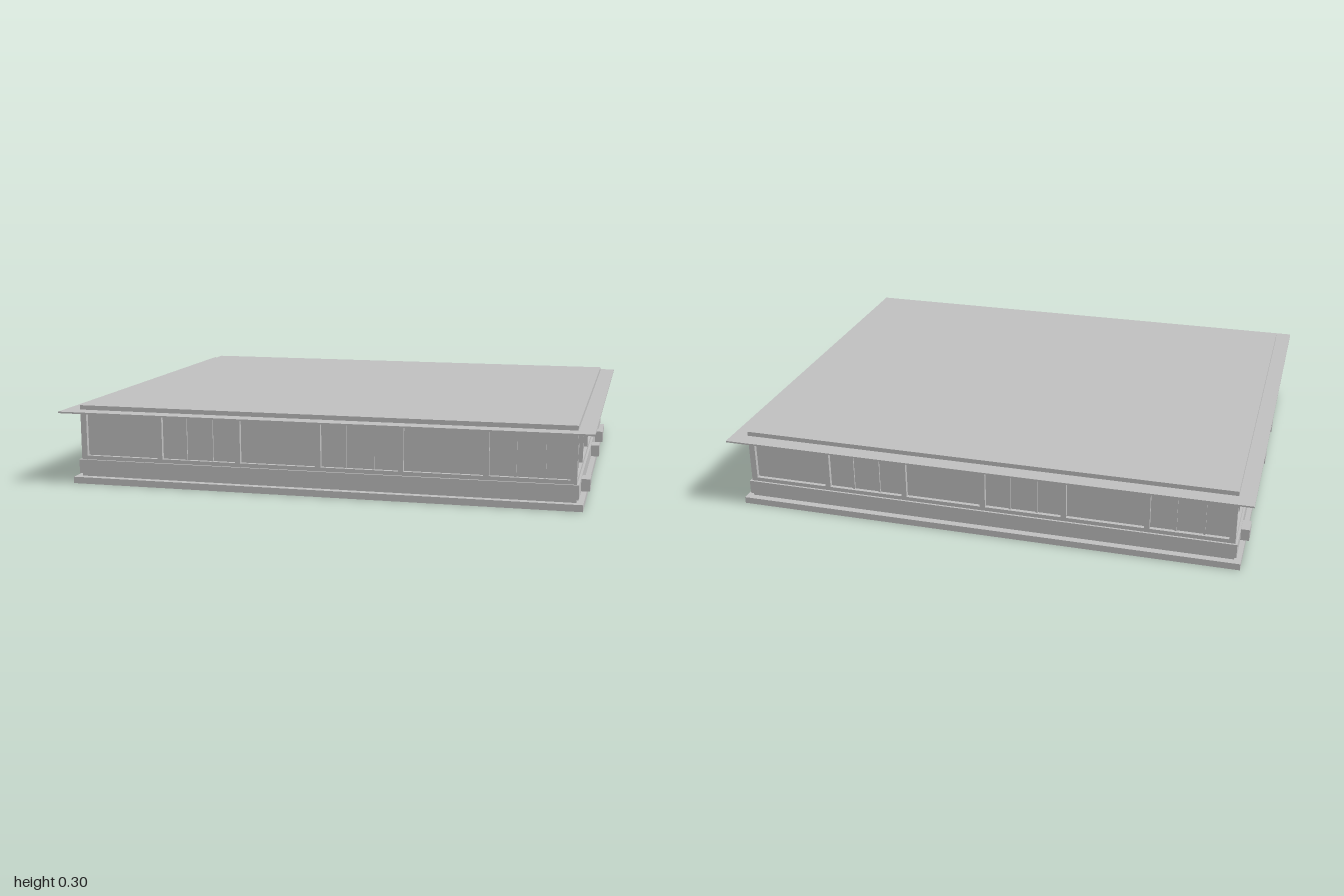
import * as THREE from 'three';

export function createModel() {
  const model = new THREE.Group();
  model.name = 'pavilion';
  const grey = new THREE.MeshStandardMaterial({ color: 0xc0c0c0 });
  grey.name = 'light grey';

  // Box centred on x, z and resting on y0
  function box(parent, name, w, d, y0, y1, x = 0, z = 0) {
    const mesh = new THREE.Mesh(new THREE.BoxGeometry(w, y1 - y0, d), grey);
    mesh.position.set(x, (y0 + y1) / 2, z);
    mesh.name = name;
    parent.add(mesh);
    return mesh;
  }

  const HX = 0.94, HZ = 0.78, RECESS = 0.015;
  const SILL = 0.105, EAVE = 0.277;

  // Floor, walls and roof
  box(model, 'baseSlab', 1.93, 1.615, 0, 0.025);
  box(model, 'lowerWall', HX * 2, HZ * 2, 0.025, SILL);
  box(model, 'plinthBand', 1.896, 1.576, 0.037, 0.09);
  box(model, 'windowPanels', (HX - RECESS) * 2, (HZ - RECESS) * 2, SILL, EAVE);
  box(model, 'roofOverhang', 2, 1.685, EAVE, 0.283);
  box(model, 'roofCap', HX * 2, HZ * 2, 0.283, 0.3);

  // Corner posts
  for (const sx of [-1, 1]) {
    for (const sz of [-1, 1]) {
      box(model, 'cornerPost', 0.023, 0.018, SILL, EAVE, sx * (HX - 0.0115), sz * (HZ - 0.009));
    }
  }

  // One wall facing local +z: posts between bays, thin mullions in the divided bays
  function facade(name, half, dist, bays, divided, turn) {
    const wall = new THREE.Group();
    wall.name = name;
    const pitch = (half * 2 - 0.02) / bays;
    const start = -half + 0.01;
    for (let i = 0; i < bays; i++) {
      const x0 = start + i * pitch;
      if (i > 0) box(wall, 'post', 0.02, RECESS, SILL, EAVE, x0, dist - RECESS / 2);
      if (!divided(i)) continue;
      for (const t of [1 / 3, 2 / 3]) {
        box(wall, 'mullion', 0.008, 0.006, SILL, EAVE, x0 + t * pitch, dist - RECESS + 0.003);
      }
    }
    wall.rotation.y = turn;
    model.add(wall);
  }
  const alternate = (i) => i % 2 === 1;
  const every = () => true;
  facade('frontWall', HX, HZ, 6, alternate, 0);
  facade('backWall', HX, HZ, 6, alternate, Math.PI);
  facade('leftWall', HZ, HX, 5, every, Math.PI / 2);
  facade('rightWall', HZ, HX, 5, every, -Math.PI / 2);

  // Small wall units, turned half around on the opposite side
  for (const side of [-1, 1]) {
    for (const z of [0.63, 0, -0.312]) {
      box(model, 'wallUnit', 0.042, 0.07, 0.041, 0.086, side * 0.959, side * z);
    }
  }

  return model;
}
